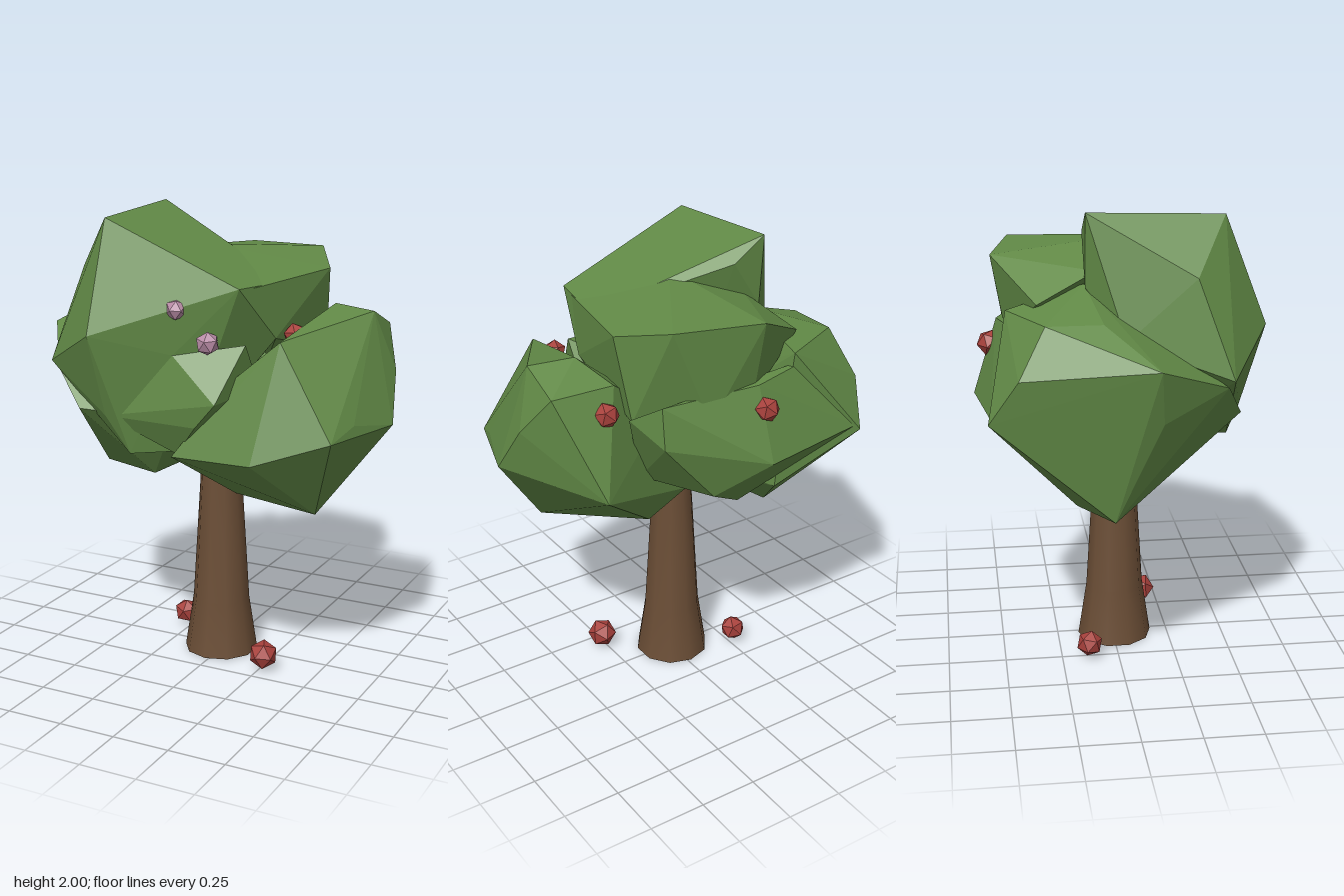
import * as THREE from 'three';
import { ConvexGeometry } from 'three/addons/geometries/ConvexGeometry.js';

const paint = (color, flatShading = true) => new THREE.MeshStandardMaterial({ color, flatShading });
const LEAF = paint(0x618946), BARK = paint(0x6b4e36, false);
const RED = paint(0xa8413c), PINK = paint(0xb98ca6);
BARK.side = THREE.DoubleSide;

// Corner points of each faceted foliage clump
const CLUMPS = {
  leftFoliage: [
    [-0.8, 1.46, 0.1], [-0.6, 1.21, -0.56], [-0.66, 1.4, -0.44], [-0.59, 1.6, -0.33],
    [-0.64, 0.79, -0.06], [-0.38, 0.77, -0.19], [-0.68, 1.0, 0.02], [-0.73, 1.23, 0.12],
    [-0.59, 1.6, -0.1], [-0.1, 0.92, 0.1], [-0.6, 1.33, 0.4], [-0.24, 0.85, 0.21],
    [-0.45, 1.18, 0.48], [-0.03, 1.0, 0.2], [-0.05, 1.15, 0.38], [-0.3, 1.7, -0.15],
    [-0.3, 1.6, -0.47], [-0.25, 0.98, -0.43],
  ],
  rightFoliage: [
    [0.8, 1.16, 0.07], [0.68, 1.61, 0], [0.49, 1.62, -0.05], [0.44, 1.53, 0.4],
    [0.68, 1.15, 0.44], [0.38, 1.05, 0.55], [0.53, 0.78, 0.23], [0.08, 0.76, 0.06],
    [0.68, 1.53, -0.19], [0.54, 1.11, -0.38], [0.4, 1.53, -0.2], [0.0, 1.03, 0.5],
    [0.24, 1.36, 0.42], [0.2, 0.82, -0.14], [0.1, 1.3, -0.1], [0.76, 1.36, -0.06],
    [0.72, 1.2, 0.3], [-0.02, 0.89, -0.1],
  ],
  frontFoliage: [
    [-0.37, 2.0, -0.15], [-0.34, 1.98, 0.42], [0.27, 1.73, 0.42], [0.32, 1.72, 0.1],
    [0.33, 1.5, 0.2], [-0.53, 1.76, 0.28], [-0.62, 1.36, 0.42], [-0.33, 1.52, 0.6],
    [0, 1.45, 0.48], [-0.31, 1.17, 0.5], [-0.21, 1.01, 0.47], [0, 1.03, 0.4],
    [-0.5, 1.5, 0], [-0.1, 1.0, 0.1], [-0.22, 1.9, -0.15], [-0.35, 1.7, -0.15],
  ],
  lowerFrontFoliage: [
    [0, 1.45, 0.48], [0.12, 1.17, 0.52], [0.22, 1.28, 0.54], [-0.31, 1.17, 0.5],
    [0.28, 1.5, 0.38], [0, 1.03, 0.45], [-0.1, 1.3, 0.1], [0.28, 1.3, 0.25],
  ],
  topFoliage: [
    [-0.11, 1.79, -0.52], [0.27, 1.8, -0.43], [0.4, 1.74, -0.2], [-0.04, 1.85, 0.07],
    [0.36, 1.38, -0.27], [0.1, 1.38, -0.45], [-0.1, 1.45, -0.46], [-0.4, 1.64, -0.35],
    [-0.3, 1.75, -0.1], [0.25, 1.4, 0.1], [0.28, 1.72, 0.35], [0.33, 1.5, 0.2],
  ],
  backFoliage: [
    [-0.11, 1.2, -0.6], [-0.1, 1.52, -0.5], [0.3, 1.48, -0.4], [0.38, 1.4, -0.28],
    [0.3, 1.3, -0.42], [0.08, 1.04, -0.45], [-0.1, 0.93, -0.37], [-0.02, 0.89, -0.12],
    [-0.4, 1.55, -0.45], [0.25, 1.05, -0.15], [-0.58, 1.23, -0.55], [-0.35, 1.05, -0.42],
  ],
};

// x, y, z, radius of the fruit and blossoms
const RED_FRUIT = [
  [0.27, 0.075, 0.17, 0.065], [-0.27, 0.07, -0.13, 0.058],
  [0.43, 1.53, 0.23, 0.05], [0.46, 1.43, -0.24, 0.055], [-0.12, 1.42, -0.53, 0.055],
];
const BLOSSOMS = [[0.02, 1.64, 0.48, 0.045], [0.15, 1.51, 0.46, 0.05]];

function add(group, name, geometry, material) {
  const mesh = new THREE.Mesh(geometry, material);
  mesh.name = name;
  group.add(mesh);
  return mesh;
}

// Small faceted balls, each turned a little differently
function scatter(group, name, list, material) {
  list.forEach(([x, y, z, r], i) => {
    const ball = add(group, name + (i + 1), new THREE.IcosahedronGeometry(r, 0), material);
    ball.position.set(x, y, z);
    ball.rotation.set(0.5 + i, 0.9 * i, 0.3);
  });
}

export function createModel() {
  const tree = new THREE.Group();
  tree.name = 'tree';

  // Trunk, open below and flared at the foot
  const profile = [[0.165, 0], [0.127, 0.25], [0.094, 0.8], [0.08, 1.15]];
  const side = profile.map(([r, y]) => new THREE.Vector2(r, y));
  const trunk = add(tree, 'trunk', new THREE.LatheGeometry(side, 10), BARK);
  trunk.position.set(-0.016, 0, 0.01);

  // Crown
  for (const [name, points] of Object.entries(CLUMPS)) {
    add(tree, name, new ConvexGeometry(points.map((p) => new THREE.Vector3(...p))), LEAF);
  }

  scatter(tree, 'fruit', RED_FRUIT, RED);
  scatter(tree, 'blossom', BLOSSOMS, PINK);
  return tree;
}
